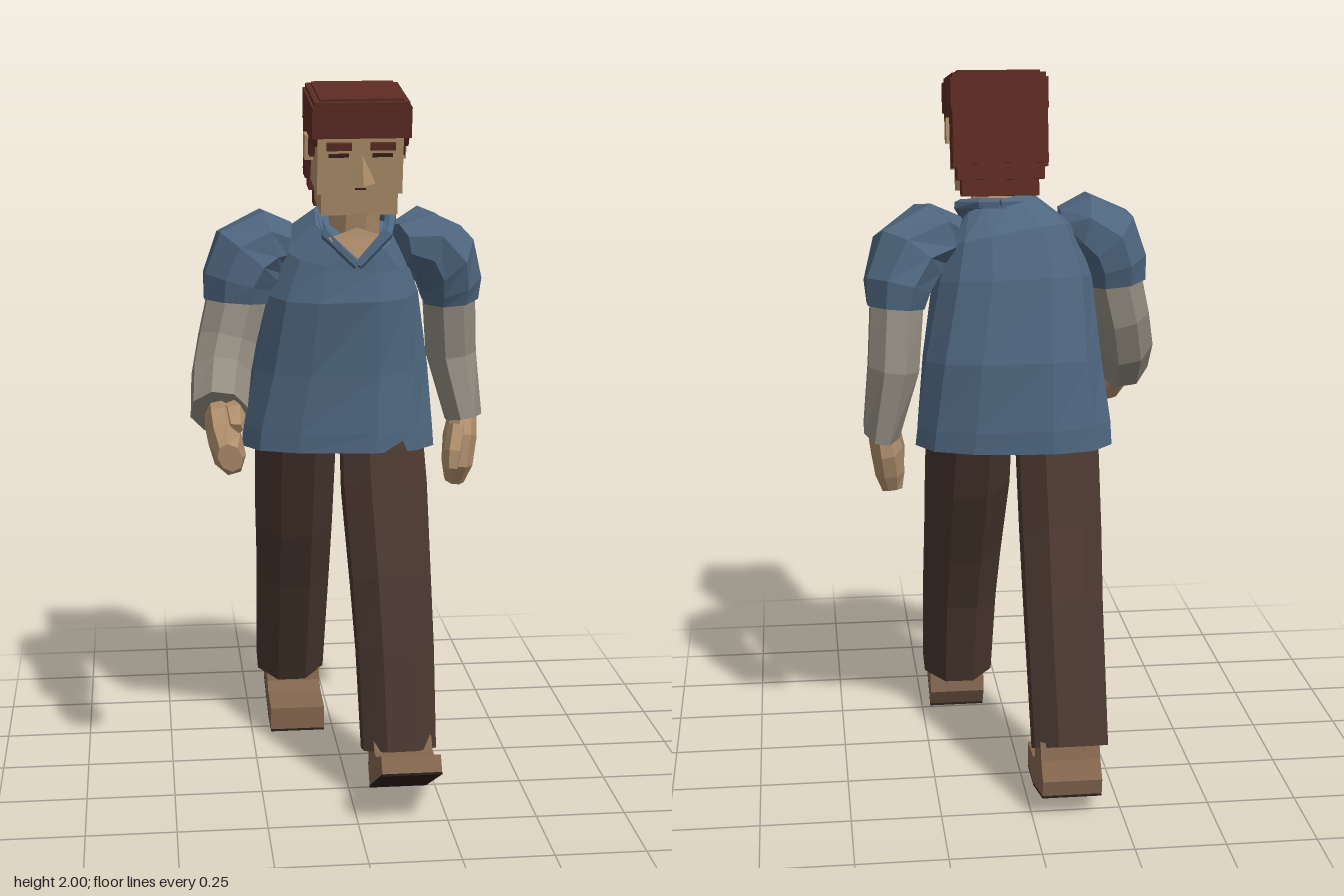
import * as THREE from 'three';

const mat = (name, color) => {
  const m = new THREE.MeshStandardMaterial({ color });
  m.name = name;
  return m;
};

export function createModel() {
  const skin = mat('skin', 0xaf8f6c), hair = mat('hair', 0x5c2a22), shirt = mat('shirt', 0x4e667f);
  const sleeve = mat('sleeve', 0x928c80), trousers = mat('trousers', 0x4a372f);
  const shoe = mat('shoe', 0x82654e), sole = mat('sole', 0x2a211d), dark = mat('dark line', 0x33201b);
  const model = new THREE.Group();

  const add = (name, geo, material, parent = model) => {
    const flat = geo.index ? geo.toNonIndexed() : geo;
    flat.computeVertexNormals();
    const mesh = new THREE.Mesh(flat, material);
    mesh.name = name;
    parent.add(mesh);
    return mesh;
  };

  // Faceted tube through sections [x, y, z, depth radius, width radius, yaw]
  const tube = (sections, n = 8, power = 1) => {
    const c = sections.map(s => new THREE.Vector3(s[0], s[1], s[2]));
    const pos = [], index = [], last = c.length - 1;
    sections.forEach((s, i) => {
      const d = c[Math.min(i + 1, last)].clone().sub(c[Math.max(i - 1, 0)]).normalize();
      const yaw = s[5] || 0;
      const u = new THREE.Vector3(Math.sin(yaw), 0, Math.cos(yaw));
      u.addScaledVector(d, -u.dot(d)).normalize();
      const v = d.clone().cross(u);
      const k = 1 / Math.cos(Math.PI / n);
      const soft = t => Math.sign(t) * Math.abs(t) ** power * k;
      for (let j = 0; j < n; j++) {
        const a = (j + 0.5) * 2 * Math.PI / n;
        const p = c[i].clone().addScaledVector(u, s[3] * soft(Math.cos(a))).addScaledVector(v, s[4] * soft(Math.sin(a)));
        pos.push(p.x, p.y, p.z);
        const q = i * n + j, r = i * n + (j + 1) % n;
        if (i < last) index.push(q, r, r + n, q, r + n, q + n);
      }
    });
    for (let j = 1; j < n - 1; j++) {
      index.push(0, j + 1, j, last * n, last * n + j, last * n + j + 1);
    }
    const g = new THREE.BufferGeometry();
    g.setAttribute('position', new THREE.Float32BufferAttribute(pos, 3));
    g.setIndex(index);
    return g;
  };

  // Side profile in (z, y) extruded from x0 to x1
  const slab = (profile, x0, x1) => {
    const s = new THREE.Shape(profile.map(p => new THREE.Vector2(p[0], p[1])));
    const g = new THREE.ExtrudeGeometry(s, { depth: x1 - x0, bevelEnabled: false });
    return g.rotateY(-Math.PI / 2).translate(x1, 0, 0);
  };

  // Box from its minimum and maximum corners
  const box = (x0, x1, y0, y1, z0, z1) => new THREE.BoxGeometry(x1 - x0, y1 - y0, z1 - z0)
    .translate((x0 + x1) / 2, (y0 + y1) / 2, (z0 + z1) / 2);

  // Tunic body, twisted between hips and shoulders
  add('tunic', tube([
    [0, 0.96, -0.065, 0.17, 0.275, -0.1],
    [0, 1.02, -0.065, 0.17, 0.27, -0.08],
    [0.005, 1.2, -0.06, 0.165, 0.245, 0],
    [0, 1.42, -0.025, 0.155, 0.215, 0.1],
    [0.01, 1.53, -0.01, 0.13, 0.18, 0.15],
    [0.033, 1.6, 0.03, 0.09, 0.11, 0.1],
  ], 12, 0.7), shirt);

  // Open neckline, collar and neck
  const vee = new THREE.BufferGeometry();
  vee.setAttribute('position', new THREE.Float32BufferAttribute(
    [-0.045, 1.578, 0.122, 0.037, 1.505, 0.134, 0.12, 1.578, 0.11, 0.037, 1.605, 0.112], 3));
  vee.setIndex([0, 1, 2, 0, 2, 3]);
  add('neckline', vee, skin);
  for (const s of [-1, 1]) {
    add('collar', tube([
      [0.037, 1.502, 0.13, 0.012, 0.012],
      [0.037 + s * 0.085, 1.585, 0.105, 0.015, 0.015],
      [0.037 + s * 0.105, 1.62, 0.02, 0.016, 0.016],
      [0.037 + s * 0.05, 1.635, -0.05, 0.015, 0.015],
      [0.037, 1.635, -0.06, 0.015, 0.015],
    ], 6), shirt);
  }
  add('neck', tube([[0.035, 1.52, 0.01, 0.06, 0.07], [0.037, 1.7, 0.055, 0.058, 0.07]]), skin);

  // Left arm hanging back, right arm swung forward
  const arms = {
    left: {
      puff: [[0.165, 1.54, 0, 0.06, 0.06], [0.225, 1.55, -0.035, 0.105, 0.09], [0.3, 1.5, -0.08, 0.115, 0.1],
        [0.33, 1.42, -0.11, 0.11, 0.09], [0.335, 1.365, -0.115, 0.095, 0.078]],
      sleeve: [[0.33, 1.4, -0.11, 0.085, 0.073], [0.345, 1.2, -0.145, 0.09, 0.07], [0.38, 1.01, -0.115, 0.1, 0.05]],
      hand: [[0.377, 1.02, -0.11, 0.055, 0.038], [0.367, 0.96, -0.09, 0.078, 0.045],
        [0.357, 0.88, -0.075, 0.07, 0.042], [0.35, 0.825, -0.085, 0.035, 0.028]],
      thumb: [[0.35, 1.0, -0.04, 0.022, 0.022], [0.335, 0.93, -0.01, 0.024, 0.022], [0.33, 0.88, 0, 0.014, 0.016]],
    },
    right: {
      puff: [[-0.15, 1.55, 0.02, 0.06, 0.06], [-0.2, 1.56, 0.02, 0.1, 0.09], [-0.265, 1.52, 0.03, 0.115, 0.105],
        [-0.295, 1.45, 0.035, 0.11, 0.095], [-0.3, 1.395, 0.038, 0.095, 0.088]],
      sleeve: [[-0.29, 1.43, 0.035, 0.08, 0.082], [-0.325, 1.29, 0.06, 0.082, 0.08],
        [-0.345, 1.2, 0.105, 0.085, 0.08], [-0.357, 1.112, 0.215, 0.085, 0.075]],
      hand: [[-0.355, 1.1, 0.22, 0.055, 0.038], [-0.348, 1.07, 0.285, 0.085, 0.046],
        [-0.342, 1.04, 0.355, 0.08, 0.044], [-0.337, 1.03, 0.41, 0.04, 0.03]],
      thumb: [[-0.325, 1.13, 0.26, 0.022, 0.022], [-0.318, 1.13, 0.31, 0.024, 0.024], [-0.32, 1.1, 0.37, 0.016, 0.018]],
    },
  };
  for (const [side, a] of Object.entries(arms)) {
    add(side + ' puff sleeve', tube(a.puff), shirt);
    add(side + ' sleeve', tube(a.sleeve), sleeve);
    add(side + ' hand', tube(a.hand), skin);
    add(side + ' thumb', tube(a.thumb, 5), skin);
  }

  // Legs in mid stride
  add('left trouser leg', tube([
    [0.122, 1.05, -0.06, 0.12, 0.115], [0.125, 0.84, 0.03, 0.125, 0.12], [0.13, 0.59, 0.15, 0.12, 0.112],
    [0.135, 0.41, 0.215, 0.108, 0.108], [0.138, 0.135, 0.29, 0.103, 0.103],
  ]), trousers);
  add('right trouser leg', tube([
    [-0.125, 1.05, -0.03, 0.115, 0.115], [-0.122, 0.71, -0.175, 0.113, 0.112],
    [-0.118, 0.52, -0.27, 0.105, 0.108], [-0.117, 0.16, -0.432, 0.1, 0.103],
  ]), trousers);

  // Shoes: bottom line first, then the upper from heel to toe
  const shoes = [
    ['left', 0.06, 0.225, [[0.548, 0.165], [0.257, 0.008]],
      [[0.222, 0.06], [0.24, 0.15], [0.34, 0.19], [0.375, 0.155], [0.4, 0.155], [0.52, 0.205]]],
    ['right', -0.192, -0.027, [[-0.205, 0.007], [-0.337, 0.007], [-0.54, 0.065]],
      [[-0.548, 0.11], [-0.51, 0.155], [-0.49, 0.2], [-0.39, 0.19], [-0.37, 0.105], [-0.33, 0.085], [-0.205, 0.075]]],
  ];
  for (const [side, x0, x1, under, upper] of shoes) {
    add(side + ' shoe', slab([...under, ...upper], x0, x1), shoe);
    add(side + ' sole', slab([...under, ...under.map(([z, y]) => [z, y - 0.007]).reverse()], x0, x1), sole);
  }

  // Head, tipped slightly forward
  const head = new THREE.Group();
  head.name = 'head';
  head.position.set(0.037, 1.66, 0.05);
  head.rotation.set(0.17, 0.02, 0);
  model.add(head);
  add('face', box(-0.118, 0.118, 0.06, 0.3, -0.1, 0.097), skin, head);
  add('jaw', box(-0.106, 0.106, 0, 0.06, -0.09, 0.095), skin, head);
  const nose = new THREE.ConeGeometry(0.038, 0.08, 4).scale(1, 1, 0.9).translate(0.005, 0.13, 0.1);
  add('nose', nose, skin, head);
  add('mouth', box(-0.013, 0.017, 0.072, 0.077, 0.096, 0.1), dark, head);
  for (const s of [-1, 1]) {
    const x = s * 0.06;
    add('brow', box(x - 0.034, x + 0.034, 0.185, 0.205, 0.09, 0.112), hair, head);
    add('eye', box(x - 0.028, x + 0.028, 0.164, 0.174, 0.096, 0.102), dark, head);
    add('ear', box(s * 0.13 - 0.012, s * 0.13 + 0.012, 0.13, 0.2, -0.05, -0.005), skin, head);
  }

  // Blocky stepped hair
  add('hair cap', box(-0.136, 0.136, 0.22, 0.305, -0.132, 0.117), hair, head);
  add('hair crown', box(-0.13, 0.13, 0.305, 0.318, -0.128, 0.113), hair, head);
  add('hair top', box(-0.115, 0.115, 0.318, 0.325, -0.115, 0.1), hair, head);
  add('hair back', box(-0.132, 0.132, 0.07, 0.225, -0.142, -0.085), hair, head);
  add('hair nape', box(-0.122, 0.122, 0.025, 0.07, -0.132, -0.075), hair, head);
  add('hair nape end', box(-0.108, 0.108, -0.02, 0.025, -0.115, -0.065), hair, head);
  const lock = [[0.1, 0.225], [0.085, 0.19], [0.04, 0.19], [0.03, 0.15], [0, 0.15], [0, 0.2],
    [-0.05, 0.2], [-0.055, 0.12], [-0.075, 0.06], [-0.13, 0.06], [-0.13, 0.225]];
  for (const s of [-1, 1]) {
    add('side hair', slab(lock, s * 0.124 - 0.009, s * 0.124 + 0.009), hair, head);
  }
  return model;
}
